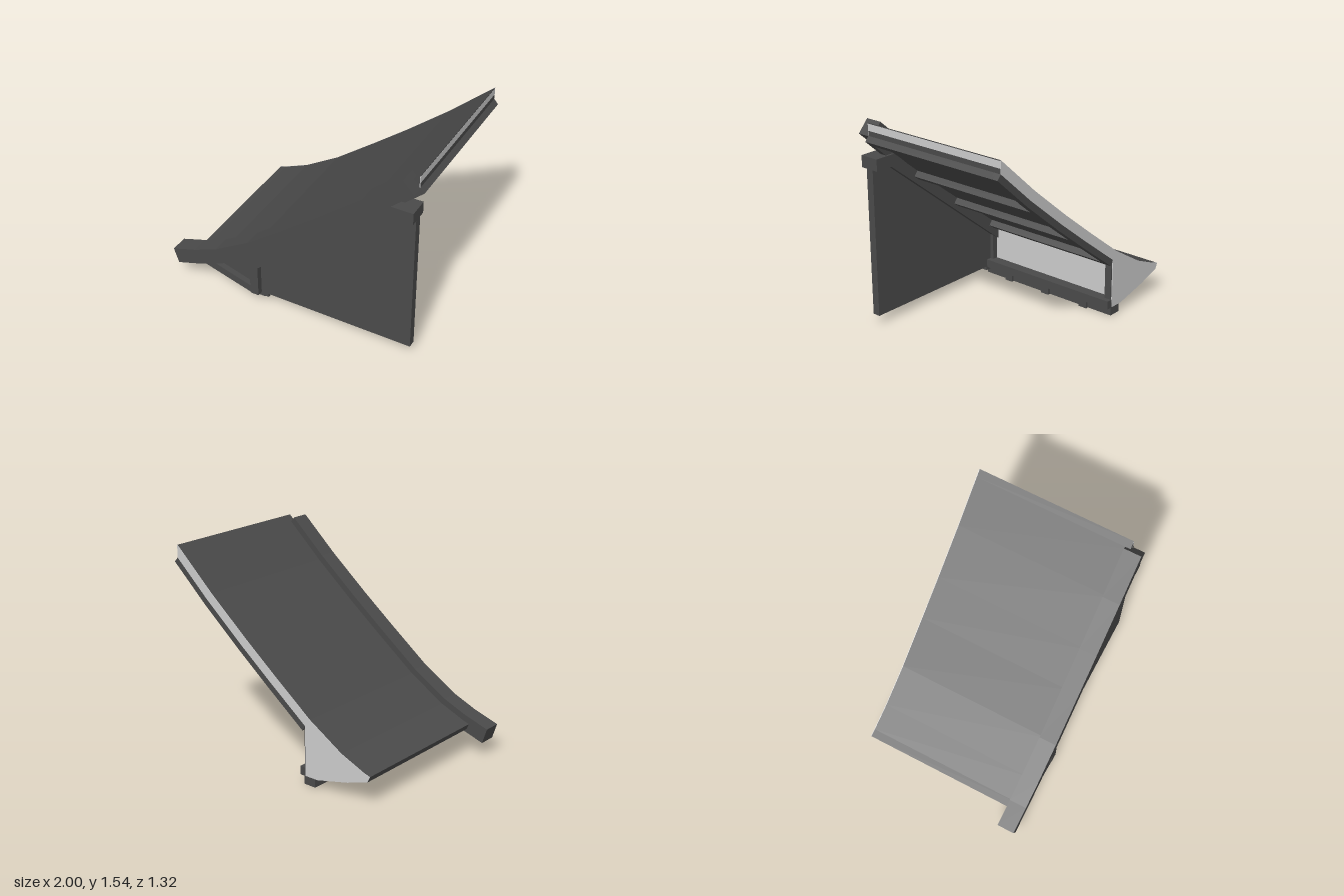
import * as THREE from 'three';

const dark = new THREE.MeshStandardMaterial({ color: 0x4a4a4a, flatShading: true });
const pale = new THREE.MeshStandardMaterial({ color: 0xcccccc, flatShading: true });

// Upper line of the sweeping roof slope, as [x, y]
const SLOPE = [[-1, 0.235], [-0.8, 0.3], [-0.61, 0.38], [-0.33, 0.55], [0, 0.8], [0.27, 1.01], [0.6, 1.28], [0.89, 1.54], [1.1, 1.728]];

function heightAt(x) {
  let i = 0;
  while (i < SLOPE.length - 2 && x > SLOPE[i + 1][0]) i++;
  const [a, b] = [SLOPE[i], SLOPE[i + 1]];
  return a[1] + (b[1] - a[1]) * (x - a[0]) / (b[0] - a[0]);
}

// Point at a perpendicular depth below the slope
function below(x, depth) {
  const dy = heightAt(x + 0.02) - heightAt(x - 0.02);
  const len = Math.hypot(0.04, dy);
  return [x + dy / len * depth, heightAt(x) - 0.04 / len * depth];
}

// Line parallel to the slope between two stations
function parallel(x0, x1, depth) {
  const stations = [x0, ...SLOPE.map((p) => p[0]).filter((x) => x > x0 + 0.01 && x < x1 - 0.01), x1];
  return stations.map((x) => below(x, depth));
}

const band = (x0, x1, top, bottom, x1Bottom = x1) =>
  [...parallel(x0, x1, top), ...parallel(x0, x1Bottom, bottom).reverse()];

export function createModel() {
  const model = new THREE.Group();
  const vectors = (pts) => pts.map(([x, y]) => new THREE.Vector2(x, y));

  // Extrude a side profile from z0 to z1
  function slab(name, pts, z0, z1, material = dark, hole = null) {
    const shape = new THREE.Shape(vectors(pts));
    if (hole) shape.holes.push(new THREE.Path(vectors(hole)));
    const geometry = new THREE.ExtrudeGeometry(shape, { depth: z1 - z0, bevelEnabled: false });
    geometry.translate(0, 0, z0);
    const mesh = new THREE.Mesh(geometry, material);
    mesh.name = name;
    model.add(mesh);
  }

  function box(name, x0, x1, y0, y1, z0, z1, material = dark) {
    const mesh = new THREE.Mesh(new THREE.BoxGeometry(x1 - x0, y1 - y0, z1 - z0), material);
    mesh.position.set((x0 + x1) / 2, (y0 + y1) / 2, (z0 + z1) / 2);
    mesh.name = name;
    model.add(mesh);
  }

  // Roof deck with its pale cut ends
  const deck = band(-0.855, 0.937, 0.05, 0.122, 0.89);
  deck[deck.length - 1] = [-0.82, 0.19];
  slab('roofDeck', deck, -0.657, 0.565);
  slab('deckSideCap', deck, -0.661, -0.657, pale);
  box('deckRidgeCap', 0.966, 0.971, 1.45, 1.538, -0.66, 0.567, pale);

  // Boxed eave below the deck
  const eave = [
    ...parallel(-0.83, -0.31, 0.08),
    [-0.26, 0.45], [-0.26, 0.067], [-0.37, 0.067], [-0.65, 0.135], [-0.7, 0.155], [-0.82, 0.19],
  ];
  slab('eaveSideCap', eave, -0.661, -0.655, pale);
  slab('eave', eave.map(([x, y]) => [Math.min(x, -0.3), y]), -0.655, 0.545);
  box('innerWall', -0.31, -0.295, 0.12, 0.42, -0.62, 0.53, pale);

  // Frame under the deck: side rails and purlins
  const railStart = -0.33;
  slab('rearRail', band(railStart, 0.89, 0.115, 0.17), -0.66, -0.6);
  slab('frontRail', band(railStart, 0.89, 0.115, 0.17), 0.51, 0.565);
  for (const x of [0.89, 0.5, 0.095, -0.295]) {
    slab('purlin', band(x - 0.04, x, 0.115, 0.17), -0.62, 0.53);
  }

  // Frame around the inner wall, resting on the base
  box('rearPost', -0.31, -0.25, 0.065, 0.43, -0.655, -0.6);
  box('frontPost', -0.31, -0.25, 0.065, 0.43, 0.51, 0.55);
  box('sill', -0.31, -0.21, 0.065, 0.13, -0.66, 0.54);
  box('baseBeam', -0.35, -0.25, 0.002, 0.067, -0.66, 0.57);

  // Eave brackets
  const bracket = [[-0.72, 0.18], [-0.7, 0.15], [-0.66, 0.14], [-0.64, 0.11], [-0.37, 0.03], [-0.37, 0], [-0.23, 0], [-0.23, 0.07], [-0.37, 0.08]];
  for (const z of [0.33, -0.04, -0.41]) slab('eaveBracket', bracket, z - 0.035, z + 0.035);

  // Gable wall
  slab('gableWall', [[-0.3, 0.07], [0.97, 0.07], [0.97, 1.25], [0.82, 1.25], [-0.3, 0.38]], 0.54, 0.6);
  box('wallFoot', -0.37, -0.2, 0.04, 0.072, 0.54, 0.6);

  // Gable trim: sloping beam, corner post and eave triangle
  slab('gableBeam', [[-0.33, 0.28], [-0.26, 0.33], [0.83, 1.2], [0.97, 1.2], [0.97, 1.29], [0.8, 1.29], [-0.33, 0.43]], 0.495, 0.648);
  box('cornerPost', -0.328, -0.26, 0.067, 0.36, 0.54, 0.647);
  slab('eaveTriangle', [[-0.76, 0.2], [-0.328, 0.072], [-0.3, 0.072], [-0.3, 0.46], [-0.66, 0.26]], 0.54, 0.645, dark,
    [[-0.66, 0.235], [-0.33, 0.135], [-0.33, 0.41]]);
  slab('eavePanel', [[-0.72, 0.2], [-0.32, 0.1], [-0.32, 0.43], [-0.6, 0.28]], 0.54, 0.6);

  // Barge board along the gable edge
  slab('bargeBoard', band(-1, 0.89, 0, 0.125), 0.525, 0.66);

  return model;
}
